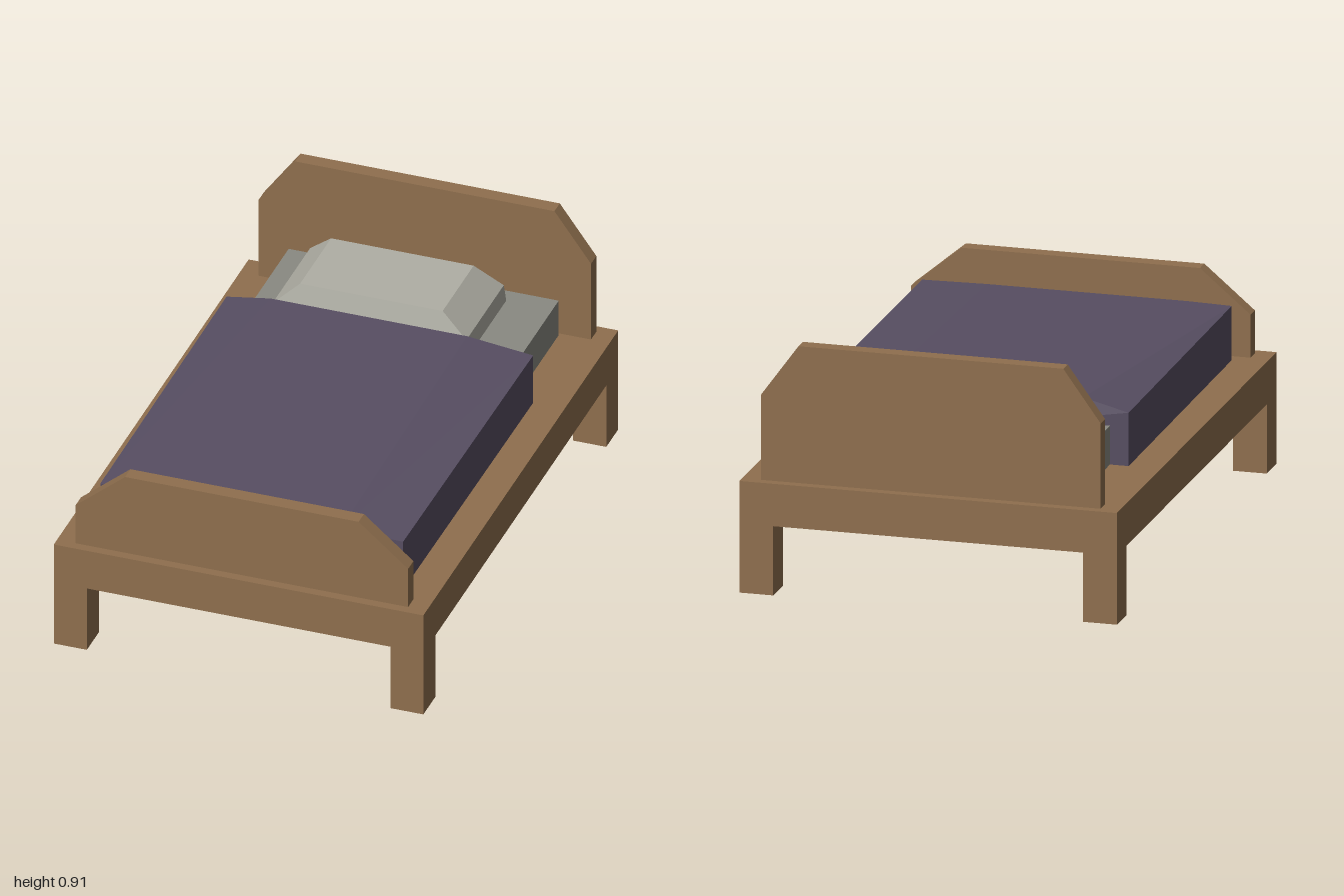
import * as THREE from 'three';

const mat = (name, color) => Object.assign(new THREE.MeshStandardMaterial({ color }), { name });

// Joins rings of points (counter-clockwise seen from the far end) into a closed flat-faced solid
function loft(rings) {
  const pos = [];
  const tri = (...pts) => pts.forEach((p) => pos.push(...p));
  const n = rings[0].length;
  for (let i = 0; i < rings.length - 1; i++) {
    for (let j = 0; j < n; j++) {
      const k = (j + 1) % n;
      const a = rings[i][j], b = rings[i][k], c = rings[i + 1][k], d = rings[i + 1][j];
      tri(a, b, c);
      tri(a, c, d);
    }
  }
  const first = rings[0], last = rings[rings.length - 1];
  for (let j = 1; j < n - 1; j++) {
    tri(first[0], first[j + 1], first[j]);
    tri(last[0], last[j], last[j + 1]);
  }
  const geo = new THREE.BufferGeometry();
  geo.setAttribute('position', new THREE.Float32BufferAttribute(pos, 3));
  geo.computeVertexNormals();
  return geo;
}

export function createModel() {
  const bed = new THREE.Group();
  bed.name = 'bed';
  const wood = mat('wood', 0x8f6f4e);
  const sheet = mat('mattressGrey', 0x8a8a82);
  const linen = mat('pillowLinen', 0xb0afa5);
  const cloth = mat('blanketPurple', 0x574e62);

  const add = (name, geo, material) => {
    const mesh = new THREE.Mesh(geo, material);
    mesh.name = name;
    bed.add(mesh);
    return mesh;
  };
  const box = (name, material, x0, x1, y0, y1, z0, z1) =>
    add(name, new THREE.BoxGeometry(x1 - x0, y1 - y0, z1 - z0), material)
      .position.set((x0 + x1) / 2, (y0 + y1) / 2, (z0 + z1) / 2);

  // Frame and four corner legs
  box('frame', wood, -0.687, 0.687, 0.253, 0.408, -1, 1);
  for (const sx of [-1, 1]) {
    for (const sz of [-1, 1]) {
      const leg = add('leg', new THREE.BoxGeometry(0.123, 0.253, 0.123), wood);
      leg.position.set(sx * 0.6255, 0.1265, sz * 0.9385);
    }
  }

  // End boards with cut corners
  const board = (name, shoulder, top, topHalf, z) => {
    const shape = new THREE.Shape([
      [-0.618, 0.408], [0.618, 0.408], [0.618, shoulder],
      [topHalf, top], [-topHalf, top], [-0.618, shoulder],
    ].map(([x, y]) => new THREE.Vector2(x, y)));
    const geo = new THREE.ExtrudeGeometry(shape, { depth: 0.055, bevelEnabled: false });
    add(name, geo, wood).position.z = z;
  };
  board('headboard', 0.72, 0.908, 0.482, -0.966);
  board('footboard', 0.565, 0.72, 0.434, 0.911);

  // Mattress, narrower where it shows beyond the blanket at the foot
  box('mattress', sheet, -0.502, 0.502, 0.408, 0.55, -0.9, 0.86);
  box('mattressFoot', sheet, -0.4, 0.4, 0.408, 0.546, 0.86, 0.9);

  // Pillow: stacked rectangles [x0, x1, y, z0, z1]
  const pillow = [
    [-0.4, 0.33, 0.54, -0.84, -0.435],
    [-0.395, 0.325, 0.62, -0.825, -0.44],
    [-0.3, 0.23, 0.708, -0.778, -0.46],
  ].map(([x0, x1, y, z0, z1]) => [[x1, y, z1], [x1, y, z0], [x0, y, z0], [x0, y, z1]]);
  add('pillow', loft(pillow), linen);

  // Blanket: slightly raised towards the pillow, flat at the foot
  const section = (zEdge, zMid, yEdge, yMid, half) => [
    [half, 0.408, zEdge], [half, yEdge, zEdge], [0.33, yMid, zMid],
    [-0.4, yMid, zMid], [-half, yEdge, zEdge], [-half, 0.408, zEdge],
  ];
  add('blanket', loft([
    section(-0.45, -0.435, 0.603, 0.64, 0.57),
    section(0.865, 0.865, 0.606, 0.61, 0.563),
  ]), cloth);

  return bed;
}
